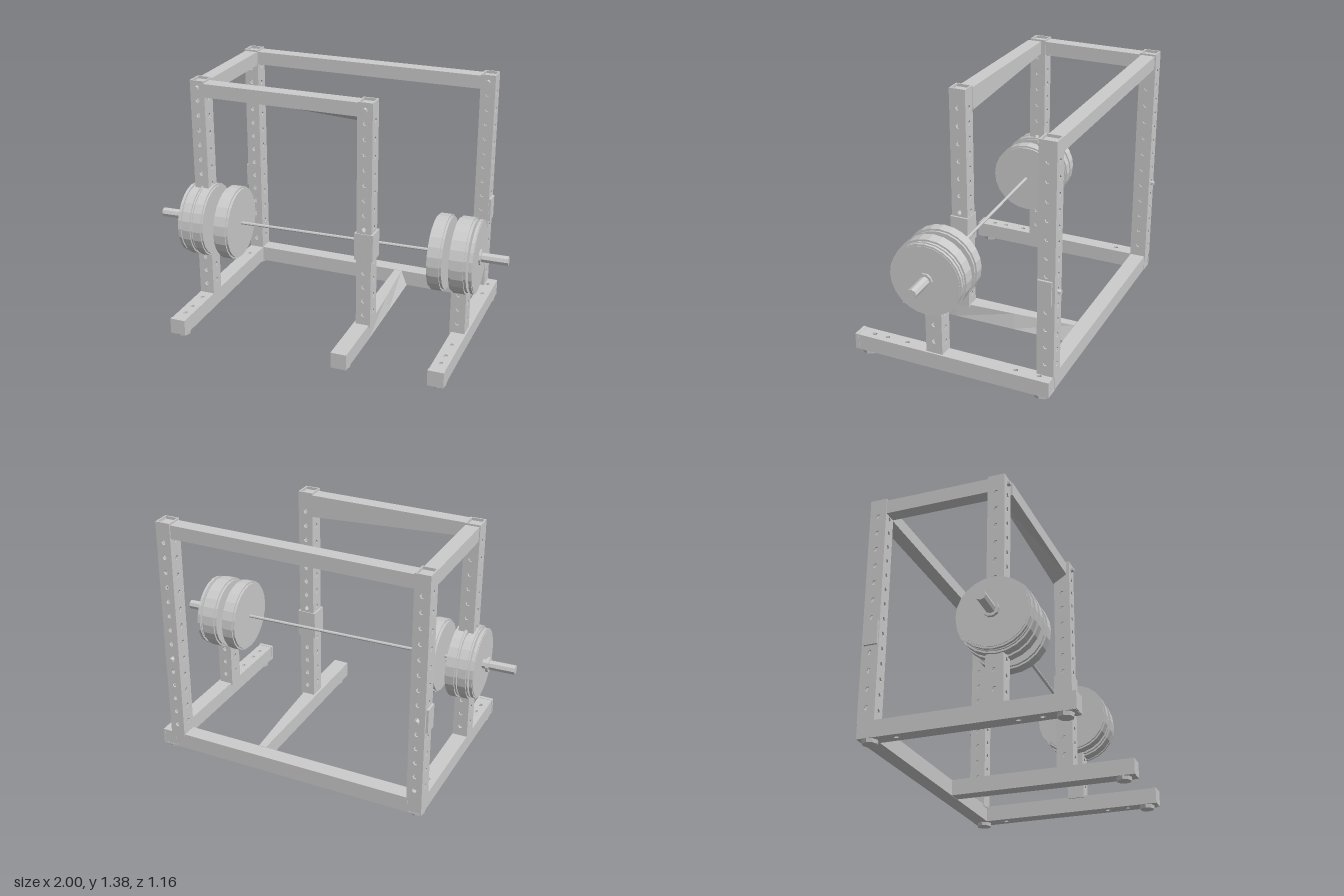
import * as THREE from 'three';

const mat = new THREE.MeshStandardMaterial({ color: 0xcccccc, flatShading: true, side: THREE.DoubleSide });

function add(parent, name, geo, x = 0, y = 0, z = 0) {
  const m = new THREE.Mesh(geo, mat);
  m.name = name;
  m.position.set(x, y, z);
  parent.add(m);
  return m;
}

// box given by its min and max corners
function block(parent, name, x0, x1, y0, y1, z0, z1) {
  return add(parent, name, new THREE.BoxGeometry(x1 - x0, y1 - y0, z1 - z0),
    (x0 + x1) / 2, (y0 + y1) / 2, (z0 + z1) / 2);
}

// cylinder lying along x
function disc(parent, name, r, x0, x1, sides) {
  const g = new THREE.CylinderGeometry(r, r, x1 - x0, sides).rotateZ(-Math.PI / 2);
  return add(parent, name, g, (x0 + x1) / 2);
}

// flat wall standing on y = 0 with a row of angular holes
function wall(width, length, thick, holes) {
  const s = new THREE.Shape();
  s.moveTo(-width / 2, 0);
  s.lineTo(width / 2, 0);
  s.lineTo(width / 2, length);
  s.lineTo(-width / 2, length);
  s.closePath();
  for (const y of holes) {
    const h = new THREE.Path();
    for (let i = 0; i < 6; i++) {
      const a = -i * Math.PI / 3;
      const px = Math.cos(a) * 0.012, py = y + Math.sin(a) * 0.015;
      if (i) h.lineTo(px, py); else h.moveTo(px, py);
    }
    h.closePath();
    s.holes.push(h);
  }
  return new THREE.ExtrudeGeometry(s, { depth: thick, bevelEnabled: false });
}

// hollow square tube along y; holes on the front/back and side walls
function tube(name, w, d, length, faceHoles, sideHoles) {
  const g = new THREE.Group();
  g.name = name;
  const t = 0.008;
  const face = wall(w, length, t, faceHoles);
  const side = wall(d - 2 * t, length, t, sideHoles).rotateY(Math.PI / 2);
  add(g, 'frontWall', face, 0, 0, d / 2 - t);
  add(g, 'backWall', face, 0, 0, -d / 2);
  add(g, 'leftWall', side, w / 2 - t, 0, 0);
  add(g, 'rightWall', side, -w / 2, 0, 0);
  return g;
}

function row(from, to, step) {
  const out = [];
  for (let y = from; y <= to; y += step) out.push(y);
  return out;
}

export function createModel() {
  const rack = new THREE.Group();
  rack.name = 'powerRack';

  // perforated posts: name, x, z, top
  const posts = [
    ['frontRightPost', -0.728, 0.15, 1.385],
    ['frontMiddlePost', 0.245, 0.18, 1.385],
    ['rearRightPost', -0.728, -0.525, 1.385],
    ['rearLeftPost', 0.703, -0.525, 1.385],
    ['shortLeftPost', 0.75, 0.08, 0.46],
  ];
  for (const [name, x, z, top] of posts) {
    const len = top - 0.1;
    const p = tube(name, 0.084, 0.094, len, row(0.07, len - 0.1, 0.085), row(0.08, len - 0.1, 0.1));
    p.position.set(x, 0.1, z);
    rack.add(p);
    // plug set below the open top
    add(rack, name + 'Plug', new THREE.BoxGeometry(0.068, 0.01, 0.078), x, top - 0.02, z);
  }

  // outer feet with a few holes near the ends, closed at front and back
  for (const [name, x] of [['rightFoot', -0.728], ['leftFoot', 0.76]]) {
    const f = tube(name, 0.084, 0.09, 1.12, [0.07, 0.2, 0.83, 0.95, 1.03], []);
    f.rotation.x = Math.PI / 2;
    f.position.set(x, 0.065, -0.57);
    rack.add(f);
    block(rack, name + 'FrontCap', x - 0.044, x + 0.044, 0.022, 0.112, 0.535, 0.555);
    block(rack, name + 'RearCap', x - 0.04, x + 0.04, 0.024, 0.106, -0.568, -0.555);
  }

  // middle foot, narrowing on its upper left edge toward the rear
  const mid = new THREE.BoxGeometry(0.088, 0.09, 1.05, 1, 1, 3);
  const mp = mid.attributes.position;
  for (let i = 0; i < mp.count; i++) {
    const k = Math.max(0, (0.1 - mp.getZ(i)) / 0.625);
    if (mp.getX(i) > 0) mp.setX(i, 0.044 - k * (mp.getY(i) > 0 ? 0.045 : 0.01));
  }
  add(rack, 'middleFoot', mid, 0.234, 0.065, 0.045);

  // rubber pads under the feet
  for (const [x, z] of [[-0.728, 0.49], [0.234, 0.5], [0.76, 0.49], [-0.728, -0.515], [0.76, -0.515]])
    add(rack, 'footPad', new THREE.CylinderGeometry(0.044, 0.04, 0.024, 8), x, 0.012, z);

  // cross beams
  block(rack, 'rearBottomBeam', -0.69, 0.725, 0.02, 0.11, -0.568, -0.482);
  block(rack, 'rearTopBeam', -0.69, 0.665, 1.3, 1.375, -0.565, -0.485);
  block(rack, 'sideTopBeam', -0.765, -0.69, 1.295, 1.375, -0.48, 0.105);

  // front top beam, its lower back edge dropping toward the middle post
  const beam = new THREE.BoxGeometry(0.89, 0.075, 0.08);
  const bp = beam.attributes.position;
  for (let i = 0; i < bp.count; i++)
    if (bp.getX(i) > 0 && bp.getY(i) < 0 && bp.getZ(i) < 0) bp.setY(i, -0.0875);
  add(rack, 'frontTopBeam', beam, -0.243, 1.3375, 0.17);

  // bolts at the upper joints
  const bolt = new THREE.CylinderGeometry(0.014, 0.014, 0.03, 6).rotateX(Math.PI / 2);
  for (const [x, z] of [[-0.728, 0.2], [0.245, 0.23], [-0.728, -0.475], [0.703, -0.475]])
    add(rack, 'jointBolt', bolt, x, 1.345, z);

  // adjustable brackets on the posts
  block(rack, 'middleBracket', 0.192, 0.298, 0.5, 0.655, 0.128, 0.232);
  for (const [x, s] of [[-0.728, -1], [0.703, 1]]) {
    add(rack, 'rearBracket', new THREE.BoxGeometry(0.02, 0.135, 0.075), x + s * 0.044, 0.588, -0.52);
    add(rack, 'bracketPin', bolt, x, 0.585, -0.575);
  }
  block(rack, 'rightBarHook', -0.69, -0.61, 0.535, 0.552, 0.135, 0.17);

  // loaded barbell, slightly skewed across the rack
  const bar = new THREE.Group();
  bar.name = 'barbell';
  bar.position.set(0, 0.565, 0.124);
  bar.rotation.y = 0.043;
  rack.add(bar);
  disc(bar, 'barShaft', 0.009, -0.8, 0.8, 8);
  for (const s of [-1, 1]) {
    const end = new THREE.Group();
    end.name = s > 0 ? 'leftLoad' : 'rightLoad';
    bar.add(end);
    const span = (name, r, a, b, n) => disc(end, name, r, Math.min(s * a, s * b), Math.max(s * a, s * b), n);
    span('sleeve', 0.027, 0.7, 0.999, 8);
    span('collar', 0.042, 0.84, 0.856, 10);
    // plates: inner face, outer face, radius
    const plates = s > 0
      ? [[0.605, 0.685, 0.207], [0.722, 0.815, 0.207], [0.826, 0.846, 0.2]]
      : [[0.515, 0.6, 0.207], [0.665, 0.727, 0.207], [0.732, 0.79, 0.205], [0.796, 0.818, 0.195]];
    for (const [a, b, r] of plates) {
      const c = (b - a) * 0.14;
      span('plateRim', r, a + c, b - c, 24);
      span('plateFace', r - 0.01, a, b, 24);
    }
  }
  return rack;
}
